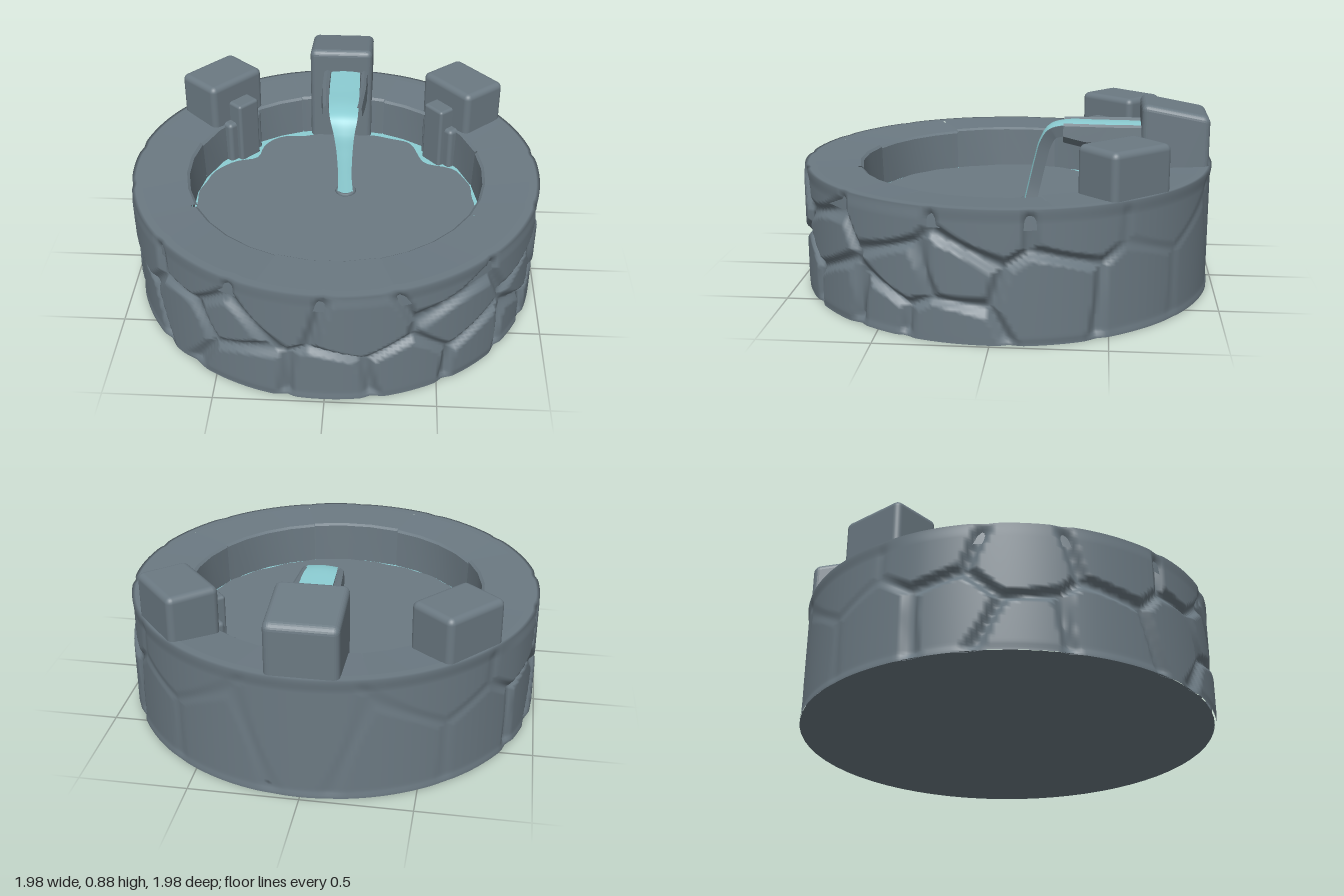
import * as THREE from 'three';
import { toCreasedNormals } from 'three/addons/utils/BufferGeometryUtils.js';
import { RoundedBoxGeometry } from 'three/addons/geometries/RoundedBoxGeometry.js';
import { ParametricGeometry } from 'three/addons/geometries/ParametricGeometry.js';

const stone = new THREE.MeshStandardMaterial({ color: 0x6b7982 });
stone.name = 'greyStone';
const water = new THREE.MeshStandardMaterial({ color: 0x8ccdd3 });
water.name = 'paleWater';

const RIM = 0.59, POOL = 0.37, RAD = Math.PI / 180;
const mix = THREE.MathUtils.lerp, step = THREE.MathUtils.smoothstep;

function add(parent, name, geometry, material) {
  const mesh = new THREE.Mesh(geometry, material);
  mesh.name = name;
  parent.add(mesh);
  return mesh;
}

// Wall stones as [degrees from the front, height]
const stones = [
  [-40, 0.25], [-62, 0.5], [-68, 0.13], [-22, 0.11], [-27, 0.33], [-14, 0.47], [10, 0.4],
  [2, 0.09], [21, 0.13], [37, 0.36], [33, 0.54], [46, 0.1], [-38, 0.52], [68, 0.28],
  [62, 0.52], [60, 0.08], [79, 0.31], [77, 0.06], [88, 0.53], [105, 0.22], [112, 0.53],
  [-90, 0.4], [-88, 0.1], [-105, 0.2], [-112, 0.5], [131, 0.2], [-128, 0.2],
  [140, 0.52], [-140, 0.52], [155, 0.2], [-155, 0.2], [180, 0.3],
];

// Bulging stones parted by grooves; the back is nearly smooth
function wallPoint(u, v, target) {
  const angle = u * 360 - 180;
  const y = Math.min(v / 0.94, 1) * RIM;
  let first = 9, second = 9, nearest = 0;
  stones.forEach(([a, h], i) => {
    const turn = Math.abs(((angle - a + 540) % 360) - 180);
    const d = Math.hypot(turn * RAD, (y - h) * 1.25);
    if (d < first) {
      second = first;
      first = d;
      nearest = i;
    } else if (d < second) second = d;
  });
  const rough = mix(1, 0.15, step(Math.abs(angle), 112, 128));
  const edge = step(second - first, 0, 0.09);
  const bump = 0.975 + rough * (edge * 0.032 - 0.022 + 0.008 * Math.sin(nearest * 2.4));
  let r = mix(bump, 0.985, 0.75 * step(y, 0.53, RIM));
  r = mix(r, 0.985, 0.6 * (1 - step(y, 0, 0.04)));
  r -= 0.05 * Math.max(0, v - 0.94) / 0.06;
  const a = angle * RAD;
  target.set(Math.sin(a) * r, y, Math.cos(a) * r);
}

// Ring of large cap stones that also forms the basin's inner wall
function buildRim() {
  const group = new THREE.Group();
  group.name = 'rimStones';
  const seams = [-18.5, 18.5, 62, 106, 133, 162, 198, 227, 254, 298, 341.5];
  const ring = (points, start, length, sides) => toCreasedNormals(new THREE.LatheGeometry(
    points.map(([r, y]) => new THREE.Vector2(r, y)), sides, start * RAD, length * RAD), 0.35);
  for (let i = 0; i < seams.length - 1; i++) {
    const dip = 0.006 + 0.012 * Math.abs(Math.sin(i * 1.9 + 0.4));
    const profile = [[0.968, 0.565], [0.968, RIM], [0.725, RIM - dip], [0.712, RIM - dip - 0.01], [0.704, POOL - 0.04]];
    const sides = Math.max(2, Math.round((seams[i + 1] - seams[i]) / 11));
    add(group, 'rimStone', ring(profile, seams[i] + 0.15, seams[i + 1] - seams[i] - 0.3, sides), stone);
  }
  add(group, 'rimCore', ring([[0.97, 0.5], [0.965, 0.572], [0.735, 0.558], [0.72, 0.3]], 0, 360, 64), stone);
  return group;
}

// Still surface: grey bed with a ragged watery edge
function buildPool(parent) {
  const edge = add(parent, 'waterEdge', new THREE.CircleGeometry(0.716, 64), water);
  edge.rotation.x = -Math.PI / 2;
  edge.position.y = POOL;
  const outline = [];
  for (let i = 0; i < 120; i++) {
    const a = i * 3 * RAD;
    const turn = Math.abs(i * 3 > 180 ? i * 3 - 360 : i * 3);
    let r = 0.69 + 0.006 * Math.sin(i * 0.37) + 0.004 * Math.sin(i * 1.3);
    r -= 0.10 * Math.exp(-Math.pow((turn - 132) / 10, 2));
    r -= 0.035 * step(turn, 145, 165);
    outline.push(new THREE.Vector2(Math.sin(a) * r, -Math.cos(a) * r));
  }
  const bed = add(parent, 'poolSurface', new THREE.ShapeGeometry(new THREE.Shape(outline)), stone);
  bed.rotation.x = -Math.PI / 2;
  bed.position.y = POOL + 0.006;
}

// Block standing between two heights
function block(parent, name, width, depth, bottom, top, bevel) {
  const mesh = add(parent, name, new RoundedBoxGeometry(width, top - bottom, depth, 3, bevel), stone);
  mesh.position.y = (top + bottom) / 2;
  return mesh;
}

// Stone trough carrying the water out of the tall block
function buildSpout(parent) {
  const shape = new THREE.Shape([
    [-0.075, 0.655], [0.095, 0.655], [0.13, 0.69], [0.125, 0.765], [0.112, 0.776], [0.095, 0.765],
    [0.088, 0.725], [-0.058, 0.725], [-0.066, 0.765], [-0.082, 0.776], [-0.1, 0.765], [-0.105, 0.69],
  ].map(([x, y]) => new THREE.Vector2(x, y)));
  const trough = new THREE.ExtrudeGeometry(shape, { depth: 0.41, steps: 4, bevelEnabled: false });
  const p = trough.attributes.position;
  for (let i = 0; i < p.count; i++) {
    const t = p.getZ(i) / 0.41;
    const taper = 1 - 0.14 * step(t, 0.5, 1);
    const y = p.getY(i);
    p.setXYZ(i, 0.015 + (p.getX(i) - 0.012) * taper, y + (y < 0.7 ? 0.025 * step(t, 0.7, 1) : 0), -0.68 + p.getZ(i));
  }
  trough.computeVertexNormals();
  add(parent, 'spoutTrough', toCreasedNormals(trough, 0.6), stone);
}

// Falling water: x of each path point holds the half width
function buildStream(parent) {
  const path = new THREE.CatmullRomCurve3([
    [0.075, 0.762, -0.66], [0.077, 0.764, -0.45], [0.074, 0.764, -0.27], [0.068, 0.742, -0.2],
    [0.052, 0.68, -0.16], [0.04, 0.59, -0.135], [0.034, 0.46, -0.105], [0.04, POOL, -0.085],
  ].map((q) => new THREE.Vector3(...q)));
  const place = (side, v, offset, target) => {
    const q = path.getPoint(v), t = path.getTangent(v);
    const n = Math.hypot(t.y, t.z);
    target.set(mix(0.015, 0.042, v) + side * q.x, q.y + offset * t.z / n, q.z - offset * t.y / n);
  };
  const corners = [[1, 0], [-1, 0], [-0.85, -0.055], [0.85, -0.055], [1, 0]];
  const body = new ParametricGeometry((u, v, target) => {
    const k = corners[THREE.MathUtils.clamp(Math.round(u * 4), 0, 4)];
    place(k[0], v, k[1], target);
  }, 4, 40);
  add(parent, 'streamBody', toCreasedNormals(body, 0.7), stone);
  const face = new ParametricGeometry((u, v, target) => {
    place(1 - 2 * u, v, 0.002 + 0.006 * Math.sin(Math.PI * u), target);
  }, 6, 40);
  const sheet = add(parent, 'streamFace', face, water);
  sheet.material = water;

  // Splash where the stream meets the pool
  const splash = add(parent, 'splashRing', new THREE.TorusGeometry(0.043, 0.01, 6, 14), stone);
  splash.rotation.x = Math.PI / 2;
  splash.position.set(0.042, POOL + 0.008, -0.108);
  const foam = add(parent, 'splashWater', new THREE.CylinderGeometry(0.036, 0.042, 0.008, 14), water);
  foam.position.set(0.042, POOL + 0.01, -0.1);
}

export function createModel() {
  const model = new THREE.Group();
  model.name = 'stoneFountain';

  // Basin
  add(model, 'outerWall', new ParametricGeometry(wallPoint, 300, 50), stone);
  const base = add(model, 'basinBase', new THREE.CircleGeometry(0.98, 64), stone);
  base.rotation.x = Math.PI / 2;
  base.position.y = 0.002;
  model.add(buildRim());
  buildPool(model);

  // Tall block at the back, its top falling toward the rear
  const tall = block(model, 'spoutBlock', 0.325, 0.32, 0.1, 0.88, 0.03);
  tall.position.x = -0.008;
  tall.position.z = -0.8;
  const p = tall.geometry.attributes.position;
  for (let i = 0; i < p.count; i++) {
    if (p.getY(i) > 0) p.setY(i, p.getY(i) - 0.055 * step(-p.getZ(i), -0.02, 0.17));
  }
  tall.geometry.computeVertexNormals();

  // Shorter blocks with a stepped pillar on each side
  for (const side of [-1, 1]) {
    const group = new THREE.Group();
    group.name = side > 0 ? 'leftBlock' : 'rightBlock';
    group.rotation.y = side * 131.5 * RAD;
    model.add(group);
    block(group, 'sideBlock', 0.335, 0.25, 0.4, 0.8, 0.03).position.z = 0.835;
    block(group, 'stepPillar', 0.13, 0.16, 0.3, 0.69, 0.015).position.z = 0.71;
    block(group, 'pillarFoot', 0.22, 0.1, 0.3, 0.585, 0.02).position.z = 0.71;
  }

  buildSpout(model);
  buildStream(model);
  return model;
}
